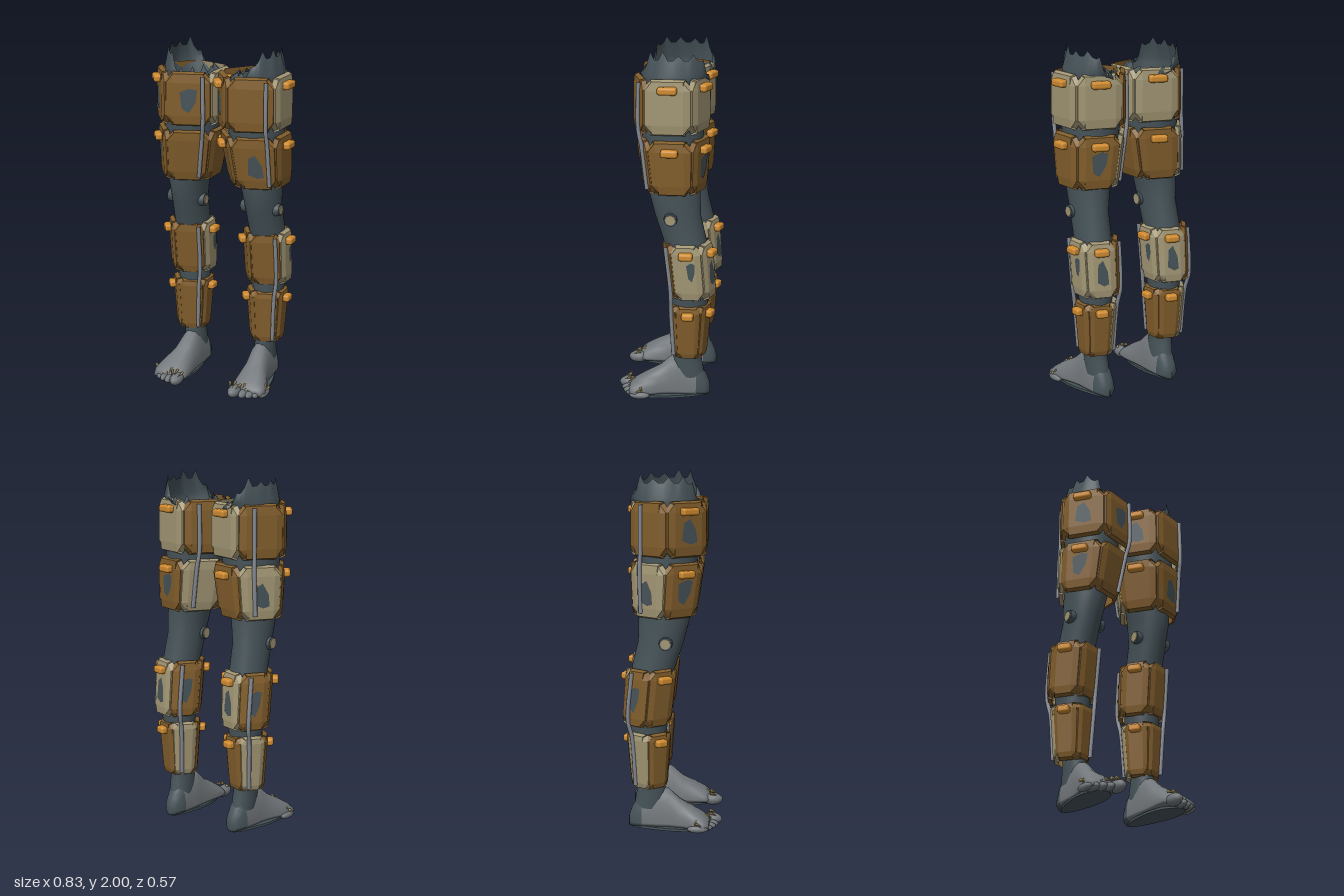
import * as THREE from 'three';
import { RoundedBoxGeometry } from 'three/addons/geometries/RoundedBoxGeometry.js';

const mat = (name, color, extra = {}) => {
  const m = new THREE.MeshStandardMaterial({ color, ...extra });
  m.name = name;
  return m;
};

export function createModel() {
  const skin = mat('slate skin', 0x465359, { side: THREE.DoubleSide });
  const footGrey = mat('grey foot', 0x72777b);
  const brown = mat('brown leather', 0x825e2c);
  const tan = mat('tan plate', 0xa29674);
  const orange = mat('orange peg', 0xd18c30);
  const steel = mat('steel rod', 0x848991);
  const straw = mat('straw tuft', 0x9a8a5c);

  const model = new THREE.Group();
  model.name = 'armouredLegs';

  const add = (parent, name, geometry, material) => {
    const mesh = new THREE.Mesh(geometry, material);
    mesh.name = name;
    parent.add(mesh);
    return mesh;
  };

  // Skin stretched over closed rings of points
  const loft = (rings) => {
    const n = rings[0].length, pos = [], idx = [];
    rings.forEach((ring) => ring.forEach((p) => pos.push(...p)));
    for (let i = 0; i < rings.length - 1; i++) {
      for (let j = 0; j < n; j++) {
        const a = i * n + j, b = i * n + (j + 1) % n;
        idx.push(a, b, b + n, a, b + n, a + n);
      }
    }
    const g = new THREE.BufferGeometry();
    g.setAttribute('position', new THREE.Float32BufferAttribute(pos, 3));
    g.setIndex(idx);
    g.computeVertexNormals();
    return g;
  };

  // Leg rings: y, centre x, centre z, half width, half depth
  const legRings = [
    [0.12, 0.228, -0.12, 0.06, 0.09], [0.2, 0.23, -0.11, 0.061, 0.086], [0.28, 0.235, -0.112, 0.057, 0.073],
    [0.45, 0.24, -0.12, 0.07, 0.082], [0.6, 0.242, -0.125, 0.096, 0.106], [0.8, 0.245, -0.12, 0.098, 0.105],
    [0.95, 0.24, -0.092, 0.1, 0.122], [1.08, 0.235, -0.055, 0.1, 0.128], [1.2, 0.23, -0.038, 0.113, 0.142],
    [1.35, 0.21, -0.028, 0.13, 0.14], [1.54, 0.2, -0.022, 0.158, 0.172], [1.7, 0.197, -0.02, 0.148, 0.158],
    [1.84, 0.2, -0.025, 0.147, 0.162], [1.87, 0.205, -0.035, 0.145, 0.188],
  ];
  const legGeometry = (s) => {
    const n = 36;
    const ring = ([y, cx, cz, rx, rz], rim) => Array.from({ length: n }, (_, j) => {
      const a = (j / n) * Math.PI * 2;
      // torn rim, high on the outer side and low on the inner side
      const out = THREE.MathUtils.smoothstep(Math.sin(a) * s, -0.15, 0.65);
      const jag = j % 3 === 1 ? 0.025 + 0.006 * ((j * 7) % 5) : 0;
      const top = 1.835 + 0.12 * out + jag;
      return [s * cx + rx * Math.sin(a), rim ? top : Math.min(y, top - jag - 0.005), cz + rz * Math.cos(a)];
    });
    return loft([...legRings.map((r) => ring(r)), ring([0, 0.212, -0.037, 0.11, 0.165], true)]);
  };

  // Foot sections: z, centre x, half width, height
  const heelSections = [[-0.242, 0.225, 0.001, 0.05], [-0.236, 0.225, 0.03, 0.08], [-0.22, 0.225, 0.048, 0.12],
    [-0.19, 0.225, 0.06, 0.17], [-0.165, 0.226, 0.064, 0.19]];
  const footSections = [[-0.165, 0.226, 0.064, 0.19], [-0.06, 0.228, 0.07, 0.245], [-0.015, 0.23, 0.07, 0.23],
    [0.05, 0.237, 0.08, 0.17], [0.12, 0.248, 0.098, 0.13], [0.18, 0.255, 0.106, 0.092],
    [0.215, 0.252, 0.095, 0.065], [0.225, 0.25, 0.001, 0.04]];
  const footGeometry = (sections, s) => loft(sections.map(([z, cx, w, h]) =>
    Array.from({ length: 20 }, (_, j) => {
      const b = (j / 20) * Math.PI * 2, c = Math.cos(b), k = Math.sin(b);
      return [s * cx + w * Math.sign(c) * Math.abs(c) ** 0.8,
        0.035 + k * (k > 0 ? h - 0.035 : 0.03), z];
    })));

  // Toes: centre x, tip z, radius
  const toes = [[0.188, 0.292, 0.037], [0.24, 0.272, 0.026], [0.277, 0.258, 0.025], [0.311, 0.238, 0.024], [0.343, 0.215, 0.023]];

  // Armour bands: bottom and top [y, centre x, centre z, corner radius]
  const bands = [
    { name: 'upperThigh', lo: [1.555, 0.19, -0.012, 0.238], hi: [1.86, 0.19, -0.012, 0.236], cut: 0.05, pegY: 1.805, peg: 0.053, shift: 0 },
    { name: 'lowerThigh', lo: [1.22, 0.22, -0.035, 0.198], hi: [1.525, 0.195, -0.02, 0.232], cut: 0.048, pegY: 1.465, peg: 0.047, shift: 0 },
    { name: 'calf', lo: [0.61, 0.245, -0.136, 0.156], hi: [0.935, 0.243, -0.106, 0.163], cut: 0.042, pegY: 0.88, peg: 0.04, shift: -0.008 },
    { name: 'shin', lo: [0.245, 0.243, -0.119, 0.113], hi: [0.57, 0.243, -0.122, 0.142], cut: 0.028, pegY: 0.52, peg: 0.034, shift: -0.008 },
  ];
  const plateNames = ['Side', 'Back', 'FarBack', 'FarFront', 'Front'];
  const pattern = ['ttbbb', 'bbtbb', 'ttbbb', 'bbtbb'];
  // Worn spots: side, band, plate
  const worn = new Set(['1,0,3', '1,1,4', '1,1,1', '1,2,0', '1,2,1', '1,2,2', '-1,0,3', '-1,0,4',
    '-1,1,3', '-1,1,2', '-1,2,0', '-1,2,1', '-1,2,2']);
  const IN = Math.cos(Math.PI / 5), TAN = Math.tan(Math.PI / 5);

  // Band values at height y
  const at = (band, y, s) => {
    const t = (y - band.lo[0]) / (band.hi[0] - band.lo[0]);
    const [, cx, cz, r] = band.lo.map((v, i) => THREE.MathUtils.lerp(v, band.hi[i], t));
    return { cx: cx * s + band.shift, cz, r };
  };
  // Wrap a flat piece (x = -1..1 across, y = height, z = out) on one face of a band
  const wrap = (g, band, s, angle) => {
    const p = g.attributes.position, sn = Math.sin(angle), cs = Math.cos(angle);
    for (let i = 0; i < p.count; i++) {
      const { cx, cz, r } = at(band, p.getY(i), s);
      const u = p.getX(i) * r * IN * TAN * 0.955, d = r * IN + p.getZ(i);
      p.setXYZ(i, cx + sn * d + cs * u, p.getY(i), cz + cs * d - sn * u);
    }
    g.computeVertexNormals();
    return g;
  };

  // Plate with clipped corners, bevelled rim and edges bent inward
  const plateGeometry = (band, s, angle) => {
    const y0 = band.lo[0], y1 = band.hi[0], c = band.cut;
    const w = ((band.lo[3] + band.hi[3]) / 2) * IN * TAN;
    const g = new THREE.BoxGeometry(2, 2, 2, 3, 3, 1).toNonIndexed();
    const p = g.attributes.position;
    for (let i = 0; i < p.count; i++) {
      const x = p.getX(i), y = p.getY(i), front = p.getZ(i) > 0;
      const side = Math.abs(x) > 0.5, end = Math.abs(y) > 0.5;
      const rim = front ? 0.01 : 0;
      const px = Math.sign(x) * ((side && !end ? w : w - c * 0.8) - rim) / w;
      const inset = (end && !side ? 0 : end ? c * 0.15 : c) + rim;
      const bend = side ? 0.013 : end ? 0.006 : 0;
      p.setXYZ(i, px, y > 0 ? y1 - inset : y0 + inset, (front ? 0.003 : -0.022) - bend);
    }
    return wrap(g, band, s, angle);
  };
  // Worn spot; the ones on the side plates are smaller and sit further back
  const patchGeometry = (band, s, angle, flip, small) => {
    const y0 = band.lo[0], h = band.hi[0] - y0;
    const pts = [[-0.25, 0.33], [0.06, 0.26], [0.34, 0.46], [0.4, 0.68], [0.08, 0.71], [-0.34, 0.64]];
    const g = new THREE.ShapeGeometry(new THREE.Shape(pts.map(([x, v]) => {
      const t = flip ? 0.95 - v : v;
      return small ? new THREE.Vector2(x * 0.7 + 0.22, y0 + h * (0.18 + t * 0.75)) : new THREE.Vector2(x, y0 + h * t);
    })));
    return wrap(g.translate(0, 0, 0.006), band, s, angle);
  };

  for (const s of [1, -1]) {
    const leg = new THREE.Group();
    leg.name = s > 0 ? 'leftLeg' : 'rightLeg';
    model.add(leg);

    add(leg, 'legSkin', legGeometry(s), skin);
    add(leg, 'heel', footGeometry(heelSections, s), skin);
    add(leg, 'foot', footGeometry(footSections, s), footGrey);

    // Dark sole
    const sole = new THREE.CylinderGeometry(1, 1, 0.014, 24);
    const sp = sole.attributes.position;
    for (let i = 0; i < sp.count; i++) {
      const z = sp.getZ(i);
      sp.setXYZ(i, s * (0.238 + 0.014 * z) + sp.getX(i) * (0.08 + 0.025 * z), sp.getY(i) + 0.007, -0.005 + z * 0.225);
    }
    sole.computeVertexNormals();
    add(leg, 'sole', sole, skin);

    // Toes with straw tufts
    toes.forEach(([x, tip, r], t) => {
      const toe = add(leg, 'toe', new THREE.SphereGeometry(1, 12, 8), footGrey);
      toe.scale.set(r, r * 0.95, 0.06);
      toe.position.set(s * x, r * 0.95, tip - 0.06);
      for (const k of [-0.7, 0, 0.7]) {
        const tuft = add(leg, 'toeTuft', new THREE.ConeGeometry(0.01, 0.05, 4), straw);
        tuft.position.set(s * x + k * r, 0.05 + r * (k ? 0.5 : 0.75) - 0.003 * t, tip - 0.052 - 0.006 * (t % 2));
        tuft.rotation.set(2, 0, k * 0.5);
      }
    });

    // Round studs on both sides of the knee
    for (const k of [1, -1]) {
      const x = s * 0.235 + k * 0.1;
      const stud = add(leg, 'kneeStud', new THREE.CylinderGeometry(0.036, 0.04, 0.035, 12), skin);
      stud.position.set(x, 1.08, -0.025);
      stud.rotation.z = -k * Math.PI / 2;
      const cap = add(leg, 'kneeStudCap', new THREE.CylinderGeometry(0.029, 0.029, 0.008, 8), tan);
      cap.position.set(x + k * 0.018, 1.08, -0.025);
      cap.rotation.z = -k * Math.PI / 2;
    }

    // Five plates around each band, pegs on three of them
    bands.forEach((band, b) => plateNames.forEach((label, i) => {
      const angle = Math.PI / 2 + (i * Math.PI * 2) / 5;
      add(leg, band.name + label + 'Plate', plateGeometry(band, s, angle), pattern[b][i] === 't' ? tan : brown);
      if (worn.has([s, b, i].join())) {
        add(leg, band.name + label + 'WornSpot', patchGeometry(band, s, angle, (b + i) % 2, i === 0), skin);
      }
      if (i === 2 || i === 4) return;
      const { cx, cz, r } = at(band, band.pegY, s), d = r * IN + 0.011;
      const peg = add(leg, band.name + 'Peg', new RoundedBoxGeometry(band.peg * 2, 0.042, 0.052, 2, 0.014), orange);
      peg.position.set(cx + Math.sin(angle) * d, band.pegY, cz + Math.cos(angle) * d);
      peg.rotation.y = angle;
    }));

    // Steel rods lying on the front and far back plates: rod angle, plate angle
    for (const [rodDeg, plateDeg] of [[41, 18], [222, 234]]) {
      const a = THREE.MathUtils.degToRad(rodDeg);
      const slant = Math.cos(THREE.MathUtils.degToRad(rodDeg - plateDeg));
      for (const [i, ys] of [[0, [1.84, 1.57, 1.5, 1.25]], [2, [0.92, 0.64, 0.55, 0.27]]]) {
        const pts = ys.map((y, k) => {
          const { cx, cz, r } = at(bands[i + (k > 1 ? 1 : 0)], y, s);
          const d = (r * IN + 0.006) / slant;
          return new THREE.Vector3(cx + Math.sin(a) * d, y, cz + Math.cos(a) * d);
        });
        add(leg, 'seamRod', new THREE.TubeGeometry(new THREE.CatmullRomCurve3(pts), 16, 0.012, 8), steel);
      }
    }
  }
  return model;
}
